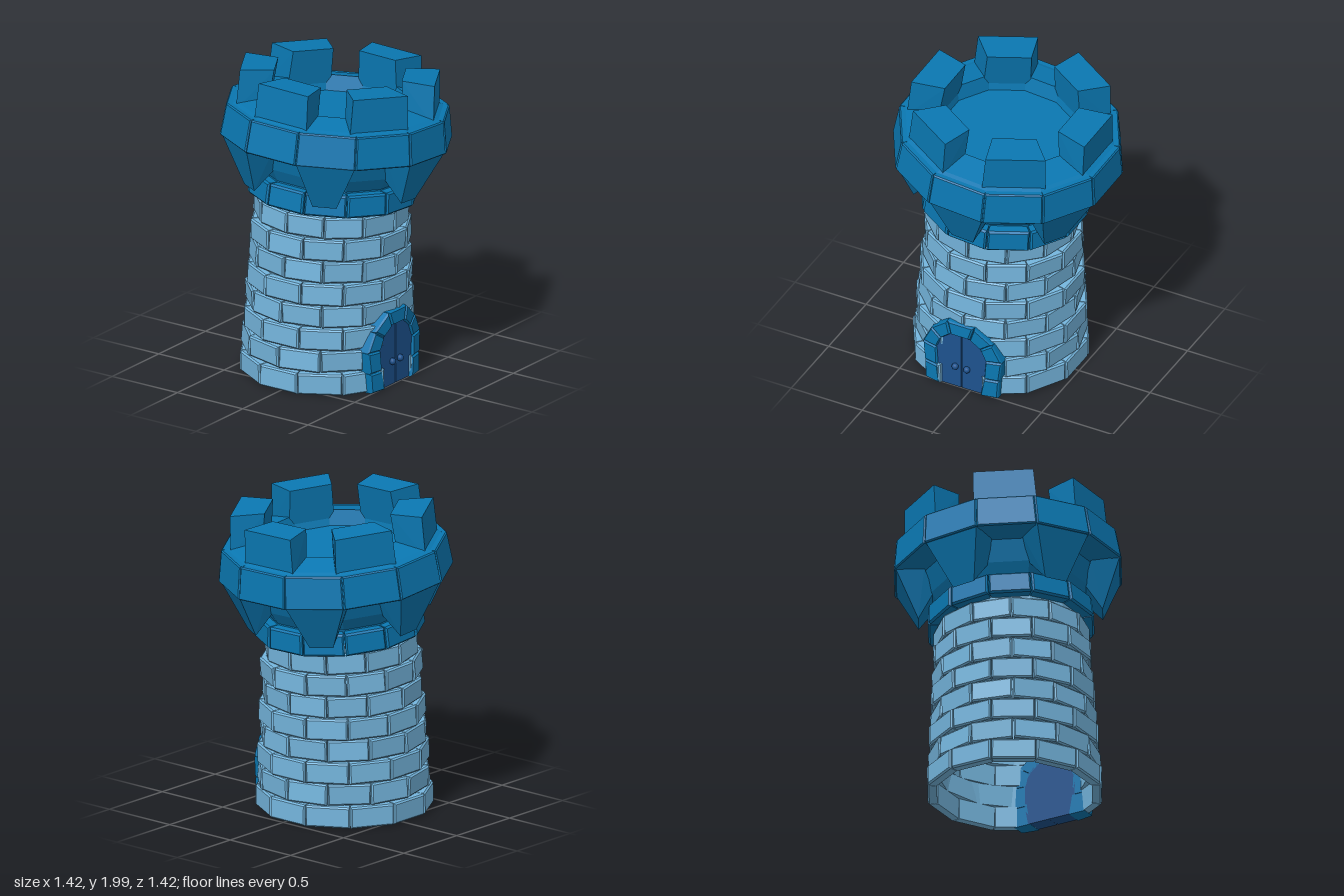
import * as THREE from 'three';
import { ConvexGeometry } from 'three/addons/geometries/ConvexGeometry.js';

const STEP = Math.PI / 6;              // twelve sided tower
const TAN = Math.tan(STEP / 2);
const COS = Math.cos(STEP / 2);

function paint(name, color) {
  const m = new THREE.MeshStandardMaterial({ color });
  m.name = name;
  return m;
}

// Point on a wall facing "angle" (0 = front), at distance d, sideways s, height y
function at(angle, d, s, y) {
  const sin = Math.sin(angle), cos = Math.cos(angle);
  return new THREE.Vector3(sin * d + cos * s, y, cos * d - sin * s);
}

function flat(geometry) {
  const g = geometry.toNonIndexed();
  g.computeVertexNormals();
  return g;
}

function add(parent, name, geometry, material) {
  const mesh = new THREE.Mesh(geometry, material);
  mesh.name = name;
  parent.add(mesh);
  return mesh;
}

// Bevelled wedge stone filling one side of the ring
function ringStone(angle, d0, d1, y0, y1, thick, bevel, gap) {
  const pts = [];
  const layer = (depth, inset) => {
    for (const [d, y] of [[d0, y0 + inset], [d1, y1 - inset]])
      for (const side of [-1, 1])
        pts.push(at(angle, d - depth, side * ((d - depth) * TAN - gap - inset), y));
  };
  layer(thick, 0);
  layer(bevel, 0);
  layer(0, bevel);
  return new ConvexGeometry(pts);
}

export function createModel() {
  const light = paint('pale blue stone', 0x75b6de);
  const blue = paint('blue stone', 0x0a77b1);
  const navy = paint('navy door', 0x1d528e);
  const inner = paint('pale blue inner wall', 0x75b6de);
  inner.side = THREE.DoubleSide;

  const tower = new THREE.Group();
  tower.name = 'tower';

  // Inner wall, open below
  const wall = add(tower, 'innerWall', flat(new THREE.CylinderGeometry(
    0.435 / COS, 0.485 / COS, 1.2, 12, 1, true, STEP / 2)), inner);
  wall.position.set(-0.047, 0.615, -0.015);
  wall.rotation.z = -0.02;

  // Brick courses, each turned by half a brick and leaning a little more
  const H = 0.142;
  for (let i = 0; i < 8; i++) {
    const course = new THREE.Group();
    course.name = 'brickCourse' + (i + 1);
    course.position.set(-0.06 + i * 0.0035, i * H + H / 2, -0.018 + i * 0.001);
    course.rotation.set(i * 0.002, 0, -0.0062 * i);
    const odd = i % 2;
    for (let k = 0; k < 12; k++) {
      // leave the doorway free
      if ((i < 3 && !odd && k === 0) || (i === 1 && (k === 0 || k === 11))) continue;
      const d = 0.541 - 0.0085 * i - odd * 0.009 + 0.004 * Math.sin(k * 5.3 + i * 2.7);
      const lean = 0.004 * Math.sin(k * 3.1 + i * 4.9);
      add(course, 'brick', ringStone((k + odd / 2) * STEP, d + lean, d - lean,
        -H / 2 + 0.003, H / 2 - 0.003, 0.06, 0.01, 0.003), light);
    }
    tower.add(course);
  }

  // Leaning battlement head
  const head = new THREE.Group();
  head.name = 'battlement';
  const BASE = 1.53;
  head.position.y = BASE;
  head.rotation.set(0.02, 0, -0.074);
  tower.add(head);

  const profile = [[0, 1.2], [0.455, 1.2], [0.44, 1.29], [0.485, 1.37], [0.53, 1.505], [0.695, 1.522],
    [0.67, 1.715], [0.62, 1.735], [0.44, 1.772], [0.415, 1.675], [0, 1.675]]
    .map(([d, y]) => new THREE.Vector2(d / COS, y - BASE));
  add(head, 'headBody', flat(new THREE.LatheGeometry(profile, 12, STEP / 2)), blue);

  for (let k = 0; k < 12; k++) {
    const a = k * STEP;
    add(head, 'neckStone', ringStone(a, 0.518, 0.508, 1.14 - BASE, 1.282 - BASE, 0.07, 0.012, 0.004), blue);
    add(head, 'rimStone', ringStone(a, 0.71, 0.684, 1.515 - BASE, 1.725 - BASE, 0.06, 0.008, 0.002), blue);
  }

  for (let k = 0; k < 6; k++) {
    // Pointed corbels under the rim
    const ca = k * 2 * STEP, corbel = [];
    // Merlons between them
    const ma = ca + STEP, merlon = [];
    for (const s of [-1, 1]) {
      for (const [d, half, y] of [[0.7, 0.185, 1.525], [0.575, 0.075, 1.22], [0.47, 0.13, 1.37], [0.52, 0.19, 1.515]])
        corbel.push(at(ca, d, s * half, y - BASE));
      for (const [d, half, y] of [[0.62, 0.2, 1.69], [0.43, 0.148, 1.69], [0.61, 0.188, 1.948], [0.4, 0.138, 1.95]])
        merlon.push(at(ma, d, s * half, y - BASE));
    }
    add(head, 'corbel', new ConvexGeometry(corbel), blue);
    add(head, 'merlon', new ConvexGeometry(merlon), blue);
  }

  // Doorway
  const door = new THREE.Group();
  door.name = 'doorway';
  door.position.x = -0.064;
  tower.add(door);

  // Arch stones from paired outer and inner outline points, mirrored
  const half = [
    [[0.255, 0], [0.14, 0]], [[0.262, 0.13], [0.163, 0.13]], [[0.278, 0.27], [0.172, 0.265]],
    [[0.215, 0.395], [0.138, 0.345]], [[0.095, 0.495], [0.068, 0.405]]];
  const flip = ([x, y]) => [-x, y];
  const arch = half.concat(half.slice().reverse().map(pair => pair.map(flip)));
  for (let i = 0; i < arch.length - 1; i++) {
    const corners = [arch[i][0], arch[i + 1][0], arch[i + 1][1], arch[i][1]];
    const cx = corners.reduce((t, c) => t + c[0], 0) / 4;
    const cy = corners.reduce((t, c) => t + c[1], 0) / 4;
    const pts = [];
    for (const [x, y] of corners) {
      const front = 0.548 - 0.17 * Math.abs(x) - 0.02 * y;
      for (const [z, k] of [[0.4, 0.98], [front - 0.012, 0.98], [front, 0.84]])
        pts.push(new THREE.Vector3(cx + (x - cx) * k, cy + (y - cy) * k, z));
    }
    add(door, 'archStone', new ConvexGeometry(pts), blue);
  }

  // Backing board that closes the slit between the leaves
  const board = add(door, 'doorBoard', new THREE.BoxGeometry(0.1, 0.405, 0.09), navy);
  board.position.set(0, 0.206, 0.445);

  // Two door leaves with round knobs
  for (const s of [-1, 1]) {
    const leaf = new THREE.Shape([[0.004, 0.003], [0.155, 0.003], [0.18, 0.13], [0.188, 0.265],
      [0.152, 0.353], [0.076, 0.418], [0.004, 0.418]].map(([x, y]) => new THREE.Vector2(s * x, y)));
    const panel = add(door, 'doorLeaf', new THREE.ExtrudeGeometry(leaf, { depth: 0.1, bevelEnabled: false }), navy);
    panel.position.z = 0.4;
    const knob = add(door, 'doorKnob', new THREE.SphereGeometry(0.022, 12, 8), navy);
    knob.position.set(s * 0.041, 0.157, 0.508);
  }

  return tower;
}
